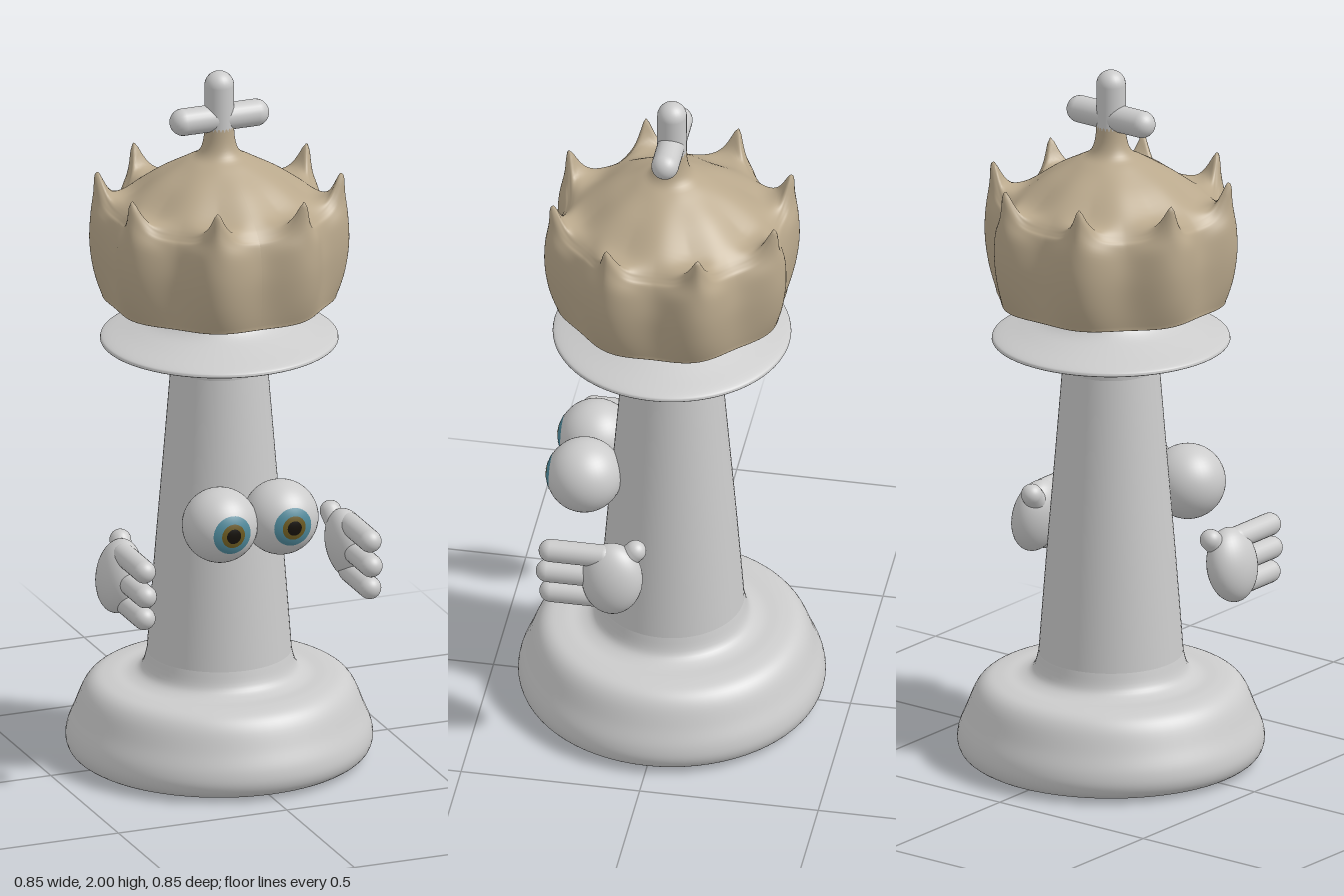
import * as THREE from 'three';

const mat = (color = 0xcccccc) => new THREE.MeshStandardMaterial({ color });
const grey = mat(), tan = mat(0xb9a88c), teal = mat(0x4f8a9c), olive = mat(0x6b5a20), black = mat(0x14100a);
const v2 = (p) => new THREE.Vector2(p[0], p[1]);

function add(parent, name, geometry, material = grey) {
  const mesh = new THREE.Mesh(geometry, material);
  mesh.name = name;
  parent.add(mesh);
  return mesh;
}

// Round-ended rod whose tips lie at points a and b
function rod(parent, name, a, b, r, material = grey) {
  const p = new THREE.Vector3(...a), q = new THREE.Vector3(...b);
  const dir = q.clone().sub(p);
  const mesh = add(parent, name, new THREE.CapsuleGeometry(r, Math.max(dir.length() - 2 * r, 0.001), 10, 24), material);
  mesh.position.copy(p).add(q).multiplyScalar(0.5);
  mesh.quaternion.setFromUnitVectors(new THREE.Vector3(0, 1, 0), dir.normalize());
  return mesh;
}

function lathe(points, samples, segments = 72) {
  const pts = new THREE.SplineCurve(points.map(v2)).getPoints(samples);
  pts.forEach((p) => { p.x = Math.max(p.x, 0); });
  return new THREE.LatheGeometry(pts, segments);
}

// Lathe whose profile blends from a valley shape to a spike shape around the ring
function crownGeometry() {
  // [valley r, valley y, spike r, spike y, spike width]; width 0 = broad bulge
  const rows = [
    [0.12, 1.355, 0.12, 1.355, 0], [0.22, 1.352, 0.22, 1.352, 0],
    [0.300, 1.345, 0.312, 1.345, 0], [0.308, 1.355, 0.326, 1.355, 0],
    [0.315, 1.42, 0.347, 1.42, 0], [0.318, 1.49, 0.358, 1.50, 0],
    [0.312, 1.55, 0.355, 1.58, 0], [0.302, 1.585, 0.347, 1.645, 0.12],
    [0.294, 1.600, 0.344, 1.692, 0.075], [0.288, 1.608, 0.335, 1.703, 0.07],
    [0.281, 1.616, 0.326, 1.692, 0.075], [0.268, 1.628, 0.300, 1.645, 0.11],
    [0.235, 1.655, 0.245, 1.640, 0], [0.17, 1.70, 0.17, 1.695, 0],
    [0.10, 1.738, 0.10, 1.738, 0], [0.060, 1.762, 0.060, 1.762, 0],
    [0.044, 1.80, 0.044, 1.80, 0], [0.040, 1.86, 0.040, 1.86, 0],
  ];
  const seg = 256, n = 72, pos = [], idx = [];
  for (let i = 0; i <= seg; i++) {
    const a = (i / seg) * Math.PI * 2;
    const step = Math.PI / 4;
    const d = Math.abs((a % step) - step / 2);
    const broad = 0.5 + 0.5 * Math.cos(d * 8);
    const curve = new THREE.SplineCurve(rows.map(([r0, y0, r1, y1, w]) => {
      const k = w ? Math.exp(-(Math.sqrt(d * d + 0.0009) - 0.03) / w) : broad;
      return new THREE.Vector2(r0 + (r1 - r0) * (w ? 0.5 * (k + broad) : k), y0 + (y1 - y0) * k);
    }));
    for (let j = 0; j <= n; j++) {
      const p = curve.getPoint(j / n);
      pos.push(p.x * Math.sin(a), p.y, p.x * Math.cos(a));
      if (i < seg && j < n) {
        const q = i * (n + 1) + j, s = q + n + 1;
        idx.push(q, s, q + 1, s, s + 1, q + 1);
      }
    }
  }
  const g = new THREE.BufferGeometry();
  g.setAttribute('position', new THREE.Float32BufferAttribute(pos, 3));
  g.setIndex(idx);
  g.computeVertexNormals();
  return g;
}

function eye(side) {
  const group = new THREE.Group();
  group.name = side > 0 ? 'leftEye' : 'rightEye';
  add(group, 'eyeball', new THREE.SphereGeometry(0.105, 40, 28));
  // Thin caps stacked on the front of the ball
  [['iris', 0.055, teal], ['irisRing', 0.034, olive], ['pupil', 0.021, black]].forEach(([name, r, m], i) => {
    const R = 0.106 + i * 0.0008;
    const cap = add(group, name, new THREE.SphereGeometry(R, 32, 8, 0, Math.PI * 2, 0, Math.asin(r / R)), m);
    cap.rotation.x = Math.PI / 2;
  });
  group.position.set(side * 0.09, 0.76, 0.229);
  return group;
}

function hand(side) {
  const group = new THREE.Group();
  group.name = side > 0 ? 'leftHand' : 'rightHand';
  const palm = add(group, 'palm', new THREE.SphereGeometry(1, 36, 24));
  palm.scale.set(0.06, 0.105, 0.085);
  palm.position.set(side * 0.34, 0.603, 0.106);
  palm.rotation.z = side * 0.18;
  [[0.672, 0.312], [0.602, 0.32], [0.535, 0.31]].forEach(([y, z]) =>
    rod(group, 'finger', [side * 0.335, y, 0.1], [side * 0.335, y, z], 0.032));
  rod(group, 'thumb', [side * 0.325, 0.62, 0.11], [side * 0.308, 0.706, 0.025], 0.03);
  return group;
}

export function createModel() {
  const model = new THREE.Group();
  model.name = 'chessKing';

  // Base, shaft and collar
  add(model, 'base', lathe([[0, 0.003], [0.2, 0.004], [0.36, 0.008], [0.405, 0.02], [0.423, 0.05], [0.42, 0.09],
    [0.40, 0.14], [0.375, 0.2], [0.345, 0.23], [0.30, 0.24], [0.25, 0.243], [0.215, 0.262], [0.2, 0.31]], 60));
  add(model, 'shaft', lathe([[0.2, 0.31], [0.178, 0.6], [0.155, 0.88], [0.134, 1.14]], 16));
  add(model, 'collar', lathe([[0.134, 1.14], [0.142, 1.175], [0.175, 1.203], [0.24, 1.215], [0.318, 1.216],
    [0.328, 1.224], [0.315, 1.234], [0.25, 1.255], [0.195, 1.275], [0.165, 1.297], [0.158, 1.32], [0.172, 1.345], [0.18, 1.36]], 60));

  // Crown and cross
  add(model, 'crown', crownGeometry(), tan);
  rod(model, 'crossPost', [0, 1.74, 0], [0, 2, 0], 0.041);
  rod(model, 'crossBar', [-0.145, 1.865, 0], [0.145, 1.865, 0], 0.038);

  // Face and floating hands
  for (const side of [-1, 1]) model.add(eye(side), hand(side));
  return model;
}
